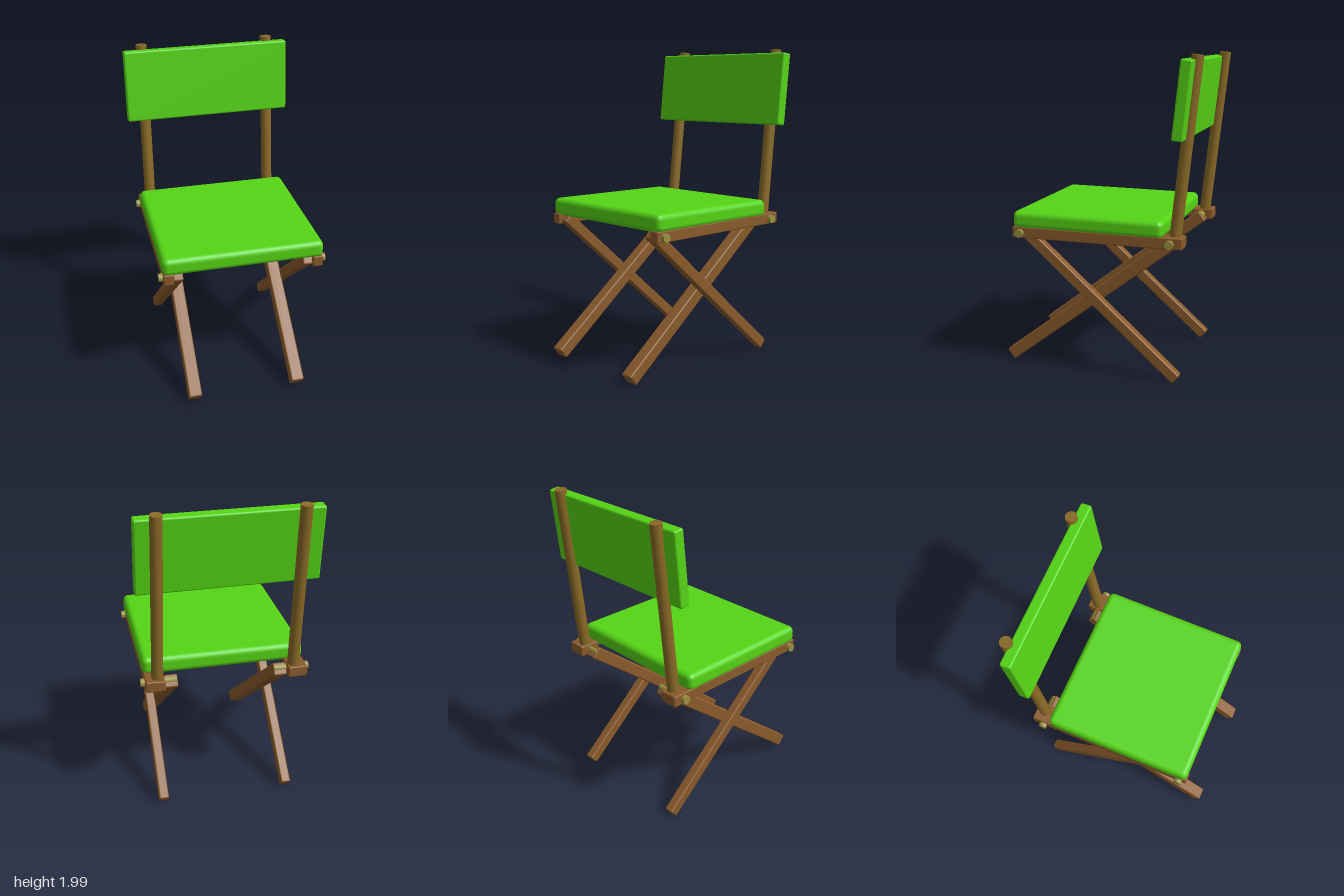
import * as THREE from 'three';
import { RoundedBoxGeometry } from 'three/addons/geometries/RoundedBoxGeometry.js';

const paint = (color) => new THREE.MeshStandardMaterial({ color });

export function createModel() {
  const model = new THREE.Group();
  const green = paint(0x55d415);
  const wood = paint(0x8a5a2b);
  const postWood = paint(0x8a6a26);
  const pegMetal = paint(0x9a9040);

  const add = (name, geometry, material, x, y, z) => {
    const mesh = new THREE.Mesh(geometry, material);
    mesh.name = name;
    mesh.position.set(x, y, z);
    model.add(mesh);
    return mesh;
  };

  // Box with softened edges spanning two opposite corners
  const block = (name, material, [x0, y0, z0], [x1, y1, z1], radius = 0.008, segments = 2) =>
    add(name, new RoundedBoxGeometry(Math.abs(x1 - x0), y1 - y0, z1 - z0, segments, radius), material,
      (x0 + x1) / 2, (y0 + y1) / 2, (z0 + z1) / 2);

  // Straight bar in a side plane, from the foot [z, y] to the top [z, y]
  const leg = (name, x, width, depth, [z0, y0], [z1, y1]) => {
    const length = Math.hypot(z1 - z0, y1 - y0);
    const bar = add(name, new RoundedBoxGeometry(width, length, depth, 2, 0.01), wood,
      x, (y0 + y1) / 2, (z0 + z1) / 2);
    bar.rotation.x = Math.atan2(z1 - z0, y1 - y0);
  };

  // Seat cushion, tipped very slightly towards the back
  const seat = block('seatCushion', green, [-0.505, 0.922, -0.43], [0.505, 1.034, 0.532], 0.036, 5);
  seat.rotation.x = -0.006;

  // Backrest panel, leaning with the posts
  const backrest = add('backrest', new RoundedBoxGeometry(1.09, 0.463, 0.07, 3, 0.012), green, 0, 1.743, -0.537);
  backrest.rotation.set(-0.107, 0.012, 0);

  for (const side of [1, -1]) {
    const label = side > 0 ? 'left' : 'right';

    // Seat rail with the post socket behind and a leg stop inside
    block(label + 'SeatRail', wood, [side * 0.437, 0.867, -0.55], [side * 0.5, 0.938, 0.535]);
    block(label + 'PostSocket', wood, [side * 0.382, 0.867, -0.55], [side * 0.495, 0.936, -0.41]);
    block(label + 'LegStop', wood, [side * 0.38, 0.872, -0.28], [side * 0.44, 0.935, -0.1]);

    // Crossing legs
    leg(label + 'OuterLeg', side * 0.408, 0.062, 0.07, [-0.507, 0.027], [0.505, 0.915]);
    leg(label + 'InnerLeg', side * 0.341, 0.084, 0.08, [0.622, 0.038], [-0.495, 0.905]);

    // Round back post
    const post = add(label + 'BackPost', new THREE.CylinderGeometry(0.036, 0.036, 1.09, 32), postWood,
      side * 0.422, 1.454, -0.548);
    post.rotation.set(-0.107, 0, side * 0.004);

    // Pivot pegs through rail and legs
    for (const [end, z, inner] of [['Front', 0.483, 0.385], ['Back', -0.474, 0.305]]) {
      const peg = add(label + end + 'Peg', new THREE.CylinderGeometry(0.026, 0.026, 0.525 - inner, 24), pegMetal,
        side * (inner + 0.525) / 2, 0.9, z);
      peg.rotation.z = Math.PI / 2;
    }
  }
  return model;
}
